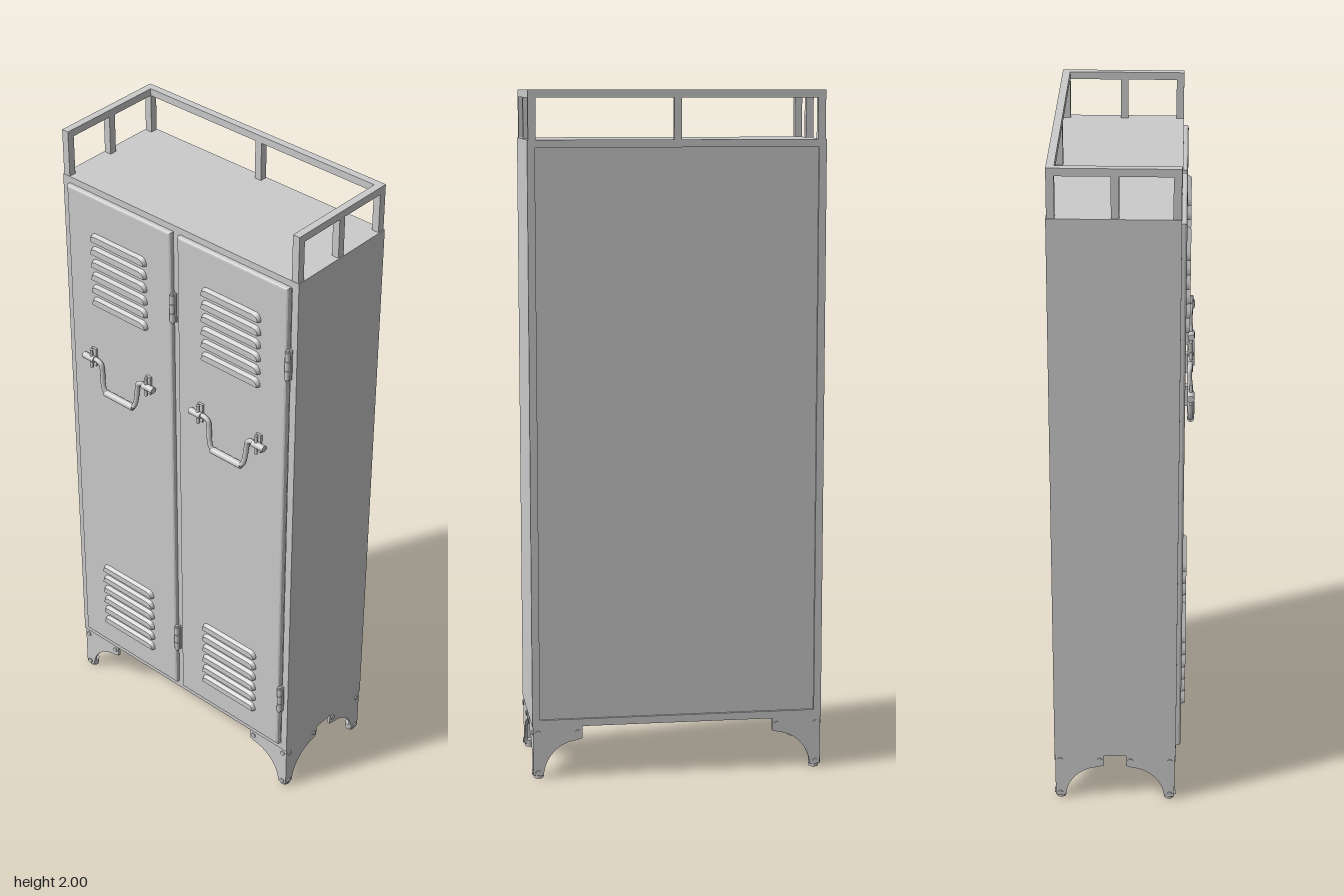
import * as THREE from 'three';

const mat = new THREE.MeshStandardMaterial({ color: 0xcccccc, side: THREE.DoubleSide });

function add(parent, name, geo, x = 0, y = 0, z = 0) {
  const m = new THREE.Mesh(geo, mat);
  m.name = name;
  m.position.set(x, y, z);
  parent.add(m);
  return m;
}

// Box given by its two extreme corners
function block(parent, name, x0, x1, y0, y1, z0, z1) {
  return add(parent, name, new THREE.BoxGeometry(x1 - x0, y1 - y0, z1 - z0),
    (x0 + x1) / 2, (y0 + y1) / 2, (z0 + z1) / 2);
}

function rectPath(path, x0, x1, y0, y1) {
  path.moveTo(x0, y0);
  path.lineTo(x1, y0);
  path.lineTo(x1, y1);
  path.lineTo(x0, y1);
  path.closePath();
  return path;
}

// Flat border around an opening
function frame(x, y0, y1, border, depth) {
  const s = rectPath(new THREE.Shape(), -x, x, y0, y1);
  s.holes.push(rectPath(new THREE.Path(), -x + border, x - border, y0 + border, y1 - border));
  return new THREE.ExtrudeGeometry(s, { depth, bevelEnabled: false });
}

// Raised louvre: arched hood, thin at the top and open below
function louvre() {
  const w = 0.107, h = 0.026, r = 0.022;
  const s = new THREE.Shape();
  s.moveTo(-w, 0);
  s.quadraticCurveTo(-w, h, -w + r, h);
  s.lineTo(w - r, h);
  s.quadraticCurveTo(w, h, w, 0);
  s.closePath();
  const g = new THREE.ExtrudeGeometry(s, { depth: 0.012, bevelEnabled: false, curveSegments: 6 });
  const p = g.attributes.position;
  for (let i = 0; i < p.count; i++) {
    if (p.getZ(i) > 0.006) {
      p.setX(i, p.getX(i) * 0.95);
      p.setY(i, p.getY(i) * 0.75);
    }
  }
  g.computeVertexNormals();
  return g;
}

// Bail handle hanging on two horizontal pivots
function makeHandle() {
  const g = new THREE.Group();
  g.name = 'handle';
  const pts = [[-0.12, 0.1, 0.190], [-0.09, 0.1, 0.188], [-0.074, 0.092, 0.187], [-0.07, 0.07, 0.187],
    [-0.065, 0.025, 0.190], [-0.057, 0.006, 0.191], [-0.04, 0, 0.191], [0, 0, 0.191]];
  const path = [...pts, ...pts.slice(0, -1).reverse().map(([x, y, z]) => [-x, y, z])];
  const curve = new THREE.CatmullRomCurve3(path.map(p => new THREE.Vector3(...p)), false, 'centripetal');
  add(g, 'handleBar', new THREE.TubeGeometry(curve, 72, 0.0075, 10));
  const grip = add(g, 'handleGrip', new THREE.CylinderGeometry(0.0105, 0.0105, 0.11, 14), 0, 0, 0.191);
  grip.rotation.z = Math.PI / 2;
  for (const s of [-1, 1]) {
    const pivot = add(g, 'handlePivot', new THREE.CylinderGeometry(0.01, 0.01, 0.042, 14), s * 0.117, 0.1, 0.191);
    pivot.rotation.z = Math.PI / 2;
    block(g, 'pivotBracket', s * 0.108 - 0.009, s * 0.108 + 0.009, 0.07, 0.13, 0.172, 0.182);
    add(g, 'pivotPin', new THREE.CylinderGeometry(0.005, 0.005, 0.062, 10), s * 0.108, 0.1, 0.191);
  }
  return g;
}

// Knuckled hinge with a thin leaf
function makeHinge() {
  const g = new THREE.Group();
  g.name = 'hinge';
  for (let i = -1; i <= 1; i++)
    add(g, 'hingeKnuckle', new THREE.CylinderGeometry(0.008, 0.008, 0.028, 12), 0, i * 0.03, 0.172);
  add(g, 'hingePin', new THREE.CylinderGeometry(0.005, 0.005, 0.1, 10), 0, 0, 0.172);
  block(g, 'hingeLeaf', -0.008, 0.008, -0.048, 0.048, 0.158, 0.165);
  return g;
}

function makeDoor(x0, x1) {
  const g = new THREE.Group();
  g.name = 'door';
  const b = 0.008, y0 = 0.18, y1 = 1.84;
  const s = rectPath(new THREE.Shape(), x0 + b, x1 - b, y0 + b, y1 - b);
  add(g, 'doorPanel', new THREE.ExtrudeGeometry(s,
    { depth: 0.009, bevelThickness: 0.006, bevelSize: b, bevelSegments: 3 }), 0, 0, 0.16);
  const cx = (x0 + x1) / 2;
  const vent = louvre();
  for (const base of [1.485, 0.268])
    for (let i = 0; i < 6; i++) add(g, 'louvre', vent, cx, base + i * 0.0425, 0.174);
  const handle = makeHandle();
  handle.position.set(cx, 1.197, 0);
  g.add(handle);
  for (const y of [1.597, 0.37]) {
    const hinge = makeHinge();
    hinge.position.set(x1 + 0.002, y, 0);
    g.add(hinge);
  }
  return g;
}

// Corner foot: two arched plates, bolts, a square top plate and a small toe.
// Built with its outer corner at the origin, reaching toward +x and +z.
function makeLeg() {
  const g = new THREE.Group();
  g.name = 'leg';
  const s = new THREE.Shape();
  s.moveTo(0, 0.01);
  s.lineTo(0.03, 0.01);
  s.bezierCurveTo(0.035, 0.07, 0.08, 0.108, 0.125, 0.112);
  s.lineTo(0.145, 0.118);
  s.lineTo(0.145, 0.156);
  s.lineTo(0, 0.156);
  s.closePath();
  const geo = new THREE.ExtrudeGeometry(s, { depth: 0.008, bevelEnabled: false, curveSegments: 12 });
  add(g, 'legPlate', geo);
  const side = add(g, 'legPlate', geo, 0.008, 0, 0);
  side.rotation.y = -Math.PI / 2;
  block(g, 'legTopPlate', 0.004, 0.145, 0.148, 0.156, 0.004, 0.145);
  add(g, 'legToe', new THREE.CylinderGeometry(0.016, 0.014, 0.022, 14), 0.016, 0.011, 0.016);
  const bolt = new THREE.CylinderGeometry(0.008, 0.008, 0.005, 10);
  for (const [u, v] of [[0.014, 0.137], [0.132, 0.137], [0.014, 0.018]]) {
    add(g, 'legBolt', bolt, u, v, -0.001).rotation.x = Math.PI / 2;
    add(g, 'legBolt', bolt, -0.001, v, u).rotation.z = Math.PI / 2;
  }
  return g;
}

export function createModel() {
  const model = new THREE.Group();
  model.name = 'locker';

  // Cabinet with raised borders on back, front and top
  const body = new THREE.Group();
  body.name = 'cabinet';
  model.add(body);
  block(body, 'cabinetShell', -0.43, 0.43, 0.155, 1.86, -0.193, 0.155);
  add(body, 'backFrame', frame(0.43, 0.155, 1.86, 0.022, 0.007), 0, 0, -0.2);
  add(body, 'frontFrame', frame(0.43, 0.155, 1.86, 0.022, 0.007), 0, 0, 0.154);
  block(body, 'centreDivider', -0.02, 0.02, 0.177, 1.838, 0.154, 0.161);

  // Doors, both hinged on the +x edge
  model.add(makeDoor(-0.405, -0.012), makeDoor(0.012, 0.405));

  // Guard rail on the back and both sides, open at the front
  const rail = new THREE.Group();
  rail.name = 'guardRail';
  model.add(rail);
  const t = 0.022, X = 0.427, zb = -0.198, zf = 0.16;
  block(rail, 'backRail', -X, X, 2 - t, 2, zb, zb + t);
  block(rail, 'backPost', -t / 2, t / 2, 1.855, 2 - t, zb, zb + t);
  for (const s of [-1, 1]) {
    const xc = s * (X - t / 2);
    block(rail, 'sideRail', xc - t / 2, xc + t / 2, 2 - t, 2, zb + t, zf);
    for (const z of [zb, -0.027, zf - t])
      block(rail, 'sidePost', xc - t / 2, xc + t / 2, 1.855, 2 - t, z, z + t);
  }

  // Four corner legs, each turned so it reaches inward
  const corners = [[-0.428, -0.198, 0], [-0.428, 0.158, 1], [0.428, 0.158, 2], [0.428, -0.198, 3]];
  for (const [x, z, turn] of corners) {
    const leg = makeLeg();
    leg.position.set(x, 0, z);
    leg.rotation.y = turn * Math.PI / 2;
    model.add(leg);
  }
  return model;
}
